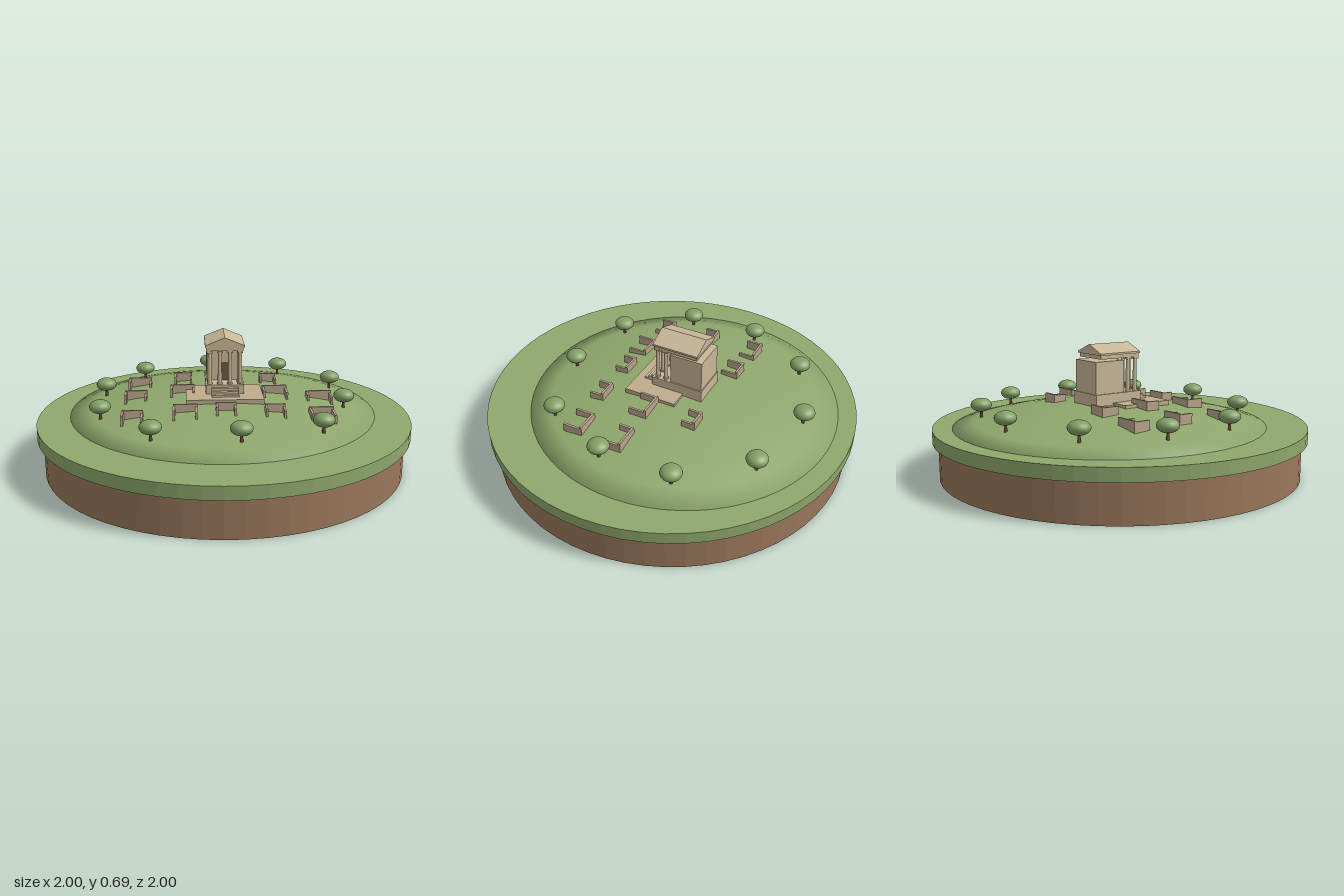
import * as THREE from 'three';

const mat = (name, color) => {
  const m = new THREE.MeshStandardMaterial({ color });
  m.name = name;
  return m;
};

const HILL = { x: 0.02, z: -0.07, r: 0.84, base: 0.265, rise: 0.115 };
const YAW = -0.35;

// Height of the hill at a ground position
function hillHeight(x, z) {
  const t = Math.hypot(x - HILL.x, z - HILL.z) / HILL.r;
  return HILL.base + HILL.rise * (1 - t * t);
}

export function createModel() {
  const grass = mat('grass', 0x8fa86d);
  const soil = mat('soil', 0x9b785c);
  const leaf = mat('leaves', 0x83a066);
  const bark = mat('bark', 0x6a4a32);
  const stone = mat('temple stone', 0xc9b898);
  const paving = mat('paving stone', 0xbfac8c);
  const ruin = mat('ruin stone', 0xb9a48c);
  const dark = mat('door', 0x6b5a45);

  const model = new THREE.Group();
  model.name = 'templeHill';
  const add = (parent, name, geo, material, x = 0, y = 0, z = 0) => {
    const mesh = new THREE.Mesh(geo, material);
    mesh.name = name;
    mesh.position.set(x, y, z);
    parent.add(mesh);
    return mesh;
  };
  // Box standing on y
  const box = (parent, name, material, w, h, d, x, y, z) =>
    add(parent, name, new THREE.BoxGeometry(w, h, d), material, x, y + h / 2, z);
  const group = (parent, name, x, y, z, yaw = 0) => {
    const g = new THREE.Group();
    g.name = name;
    g.position.set(x, y, z);
    g.rotation.y = yaw;
    parent.add(g);
    return g;
  };
  const facetedDisc = (r, h) => {
    const g = new THREE.CylinderGeometry(r, r, h, 64).toNonIndexed();
    g.computeVertexNormals();
    return g;
  };

  // Round base
  add(model, 'soilBase', facetedDisc(0.97, 0.2), soil, 0, 0.1, 0);
  add(model, 'grassDisc', facetedDisc(1, 0.067), grass, 0, 0.2335, 0);

  // Shallow dome with a buried skirt
  const profile = [new THREE.Vector2(HILL.r, 0.02)];
  for (let i = 0; i <= 7; i++) {
    const t = 1 - i / 7;
    profile.push(new THREE.Vector2(HILL.r * t, HILL.base + HILL.rise * (1 - t * t)));
  }
  add(model, 'hill', new THREE.LatheGeometry(profile, 64), grass, HILL.x, 0, HILL.z);

  // Ring of trees
  const crown = new THREE.SphereGeometry(0.056, 20, 14);
  crown.scale(1, 0.64, 1);
  const trunk = new THREE.CylinderGeometry(0.006, 0.009, 0.06, 8);
  const trees = [
    [-0.235, -0.69], [0.19, -0.71], [0.565, -0.485], [0.71, -0.09], [0.58, 0.285],
    [0.29, 0.58], [-0.145, 0.565], [-0.53, 0.36], [-0.675, -0.045], [-0.545, -0.425],
  ];
  for (const [x, z] of trees) {
    const tree = group(model, 'tree', x, hillHeight(x, z), z);
    add(tree, 'trunk', trunk, bark, 0, 0.022, 0);
    add(tree, 'crown', crown, leaf, 0, 0.067, 0);
  }

  // Ruined houses: back wall and two side walls; x, z, width, depth
  const ruins = [
    [-0.35, -0.41, 0.13, 0.09], [-0.12, -0.32, 0.1, 0.095], [-0.45, -0.16, 0.12, 0.08],
    [-0.21, -0.08, 0.13, 0.08], [0.33, -0.145, 0.095, 0.075], [-0.55, 0.11, 0.11, 0.085],
    [-0.3, 0.21, 0.125, 0.105], [-0.1, 0.27, 0.105, 0.075], [0.135, 0.36, 0.105, 0.08],
    [0.37, 0.43, 0.13, 0.11], [0.25, 0.115, 0.135, 0.1], [0.48, 0.195, 0.14, 0.08],
  ];
  const T = 0.012;
  for (const [x, z, w, d] of ruins) {
    const house = group(model, 'ruinedHouse', x, hillHeight(x, z) - 0.015, z, YAW);
    box(house, 'backWall', ruin, w, 0.06, T, 0, 0, -d / 2 + T / 2);
    box(house, 'leftWall', ruin, T, 0.045, d - T, w / 2 - T / 2, 0, T / 2);
    box(house, 'rightWall', ruin, T, 0.056, d - T, -w / 2 + T / 2, 0, T / 2);
  }

  // Paved court
  const court = group(model, 'court', -0.01, 0.36, 0.025, YAW);
  box(court, 'courtPaving', paving, 0.41, 0.03, 0.29, 0, 0, 0);

  // Temple
  const temple = group(model, 'temple', 0.03, 0, -0.075, YAW);
  box(temple, 'podium', stone, 0.205, 0.075, 0.29, 0, 0.365, 0);
  for (let i = 0; i < 4; i++) {
    box(temple, 'step', stone, 0.145, 0.062 - i * 0.013, 0.02, 0, 0.365, 0.155 + i * 0.02);
  }
  box(temple, 'hall', stone, 0.19, 0.17, 0.18, 0, 0.44, -0.05);
  box(temple, 'door', dark, 0.045, 0.1, 0.004, 0, 0.44, 0.042);

  // Columns: four in front, one behind each corner
  const shaft = new THREE.CylinderGeometry(0.0095, 0.0115, 0.168, 14);
  const drum = new THREE.CylinderGeometry(0.015, 0.015, 0.008, 14);
  const spots = [[-0.081, 0.12], [-0.027, 0.12], [0.027, 0.12], [0.081, 0.12],
    [-0.081, 0.073], [0.081, 0.073]];
  for (const [x, z] of spots) {
    const column = group(temple, 'column', x, 0.44, z);
    add(column, 'columnBase', drum, stone, 0, 0.004, 0);
    add(column, 'shaft', shaft, stone, 0, 0.09, 0);
    box(column, 'capital', stone, 0.03, 0.01, 0.03, 0, 0.172, 0);
  }

  // Entablature and gabled roof
  box(temple, 'entablature', stone, 0.197, 0.023, 0.242, 0, 0.622, 0.01);
  const gable = new THREE.Shape();
  gable.moveTo(-0.105, 0.642);
  gable.lineTo(0.105, 0.642);
  gable.lineTo(0.105, 0.652);
  gable.lineTo(0, 0.695);
  gable.lineTo(-0.105, 0.652);
  gable.closePath();
  const roof = new THREE.ExtrudeGeometry(gable, { depth: 0.255, bevelEnabled: false });
  add(temple, 'roof', roof, stone, 0, 0, -0.118);

  return model;
}
